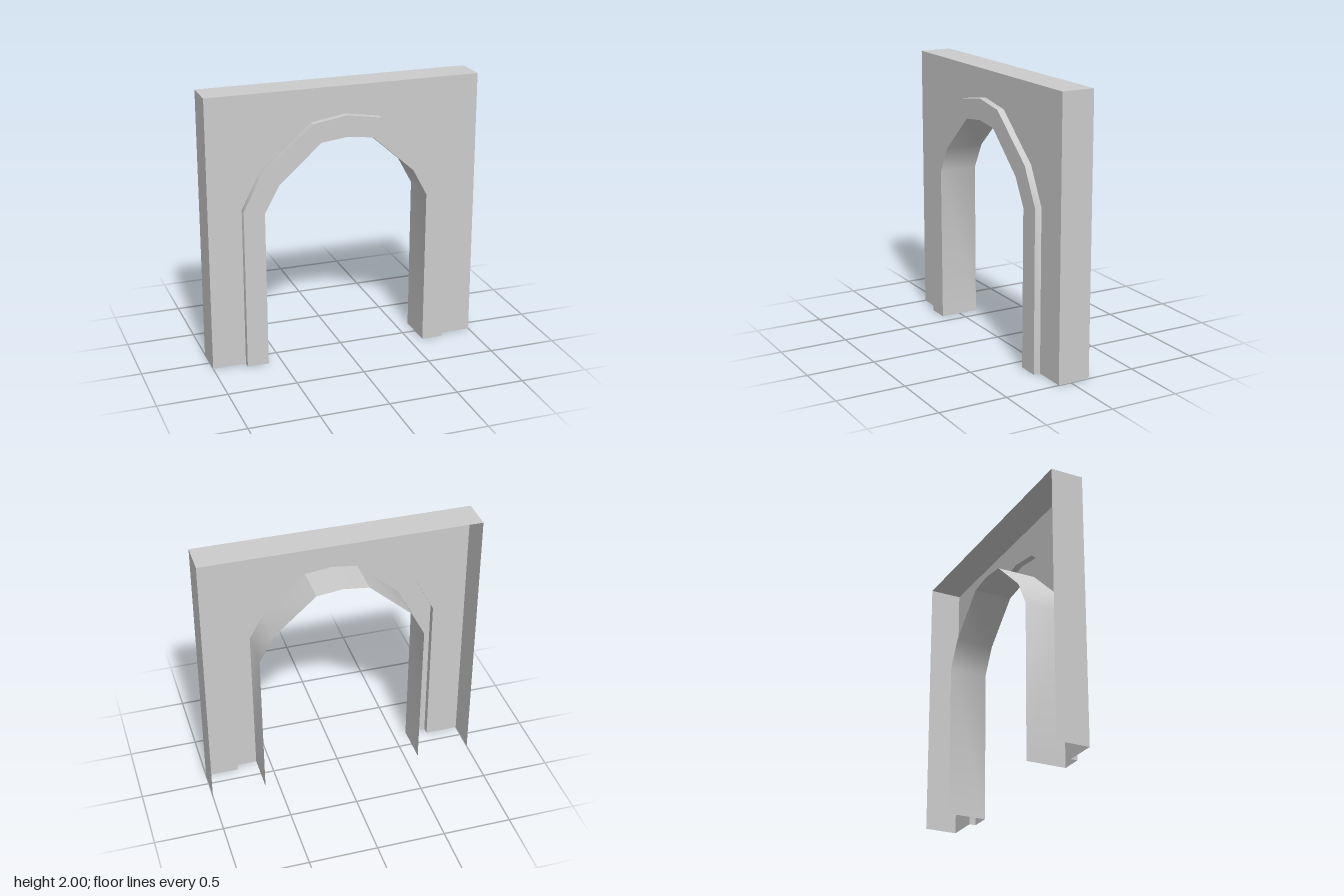
import * as THREE from 'three';
import { toCreasedNormals } from 'three/addons/utils/BufferGeometryUtils.js';

const BACK = -0.145, FACE = 0.095, TRIM = 0.145;

// Mirrors a half outline (right foot to crown) into a full one (right foot to left foot)
function mirrored(half) {
  const left = half.filter(([x]) => x > 0).reverse().map(([x, y]) => [-x, y]);
  return [...half, ...left];
}

// Open band following an outline from depth z0 to z1; faces away from the outline's inside
function band(path, z0, z1) {
  const pos = [];
  for (let i = 0; i < path.length - 1; i++) {
    const [ax, ay] = path[i], [bx, by] = path[i + 1];
    pos.push(ax, ay, z0, bx, by, z0, bx, by, z1);
    pos.push(ax, ay, z0, bx, by, z1, ax, ay, z1);
  }
  const geo = new THREE.BufferGeometry();
  geo.setAttribute('position', new THREE.Float32BufferAttribute(pos, 3));
  return toCreasedNormals(geo, THREE.MathUtils.degToRad(30));
}

// Flat sheet between an outer and an inner outline, open at the floor
function sheet(outer, inner, z) {
  const outline = [...outer, ...[...inner].reverse()];
  const shape = new THREE.Shape(outline.map(([x, y]) => new THREE.Vector2(x, y)));
  return new THREE.ShapeGeometry(shape).translate(0, 0, z);
}

export function createModel() {
  const group = new THREE.Group();
  const material = new THREE.MeshStandardMaterial({ color: 0xcccccc, side: THREE.DoubleSide });
  const add = (name, geometry) => {
    const mesh = new THREE.Mesh(geometry, material);
    mesh.name = name;
    group.add(mesh);
  };

  const wall = [[1, 0], [1, 2], [-1, 2], [-1, 0]];
  const outerArch = mirrored([[0.757, 0], [0.757, 1.18], [0.62, 1.445], [0.25, 1.76], [0, 1.8]]);
  const innerArch = mirrored([[0.6, 0], [0.605, 1.15], [0.5, 1.345], [0.19, 1.622], [0, 1.645]]);

  // Hollow wall, open at the back and underneath
  add('wallFront', sheet(wall, outerArch, FACE));
  add('wallSidesAndTop', band(wall, BACK, FACE));

  // Raised surround of the opening
  add('archTrimFront', sheet(outerArch, innerArch, TRIM));
  add('archTrimEdge', band(outerArch, FACE, TRIM));

  // Lining of the passage, through the full depth
  add('archLining', band([...innerArch].reverse(), BACK, TRIM));

  return group;
}
